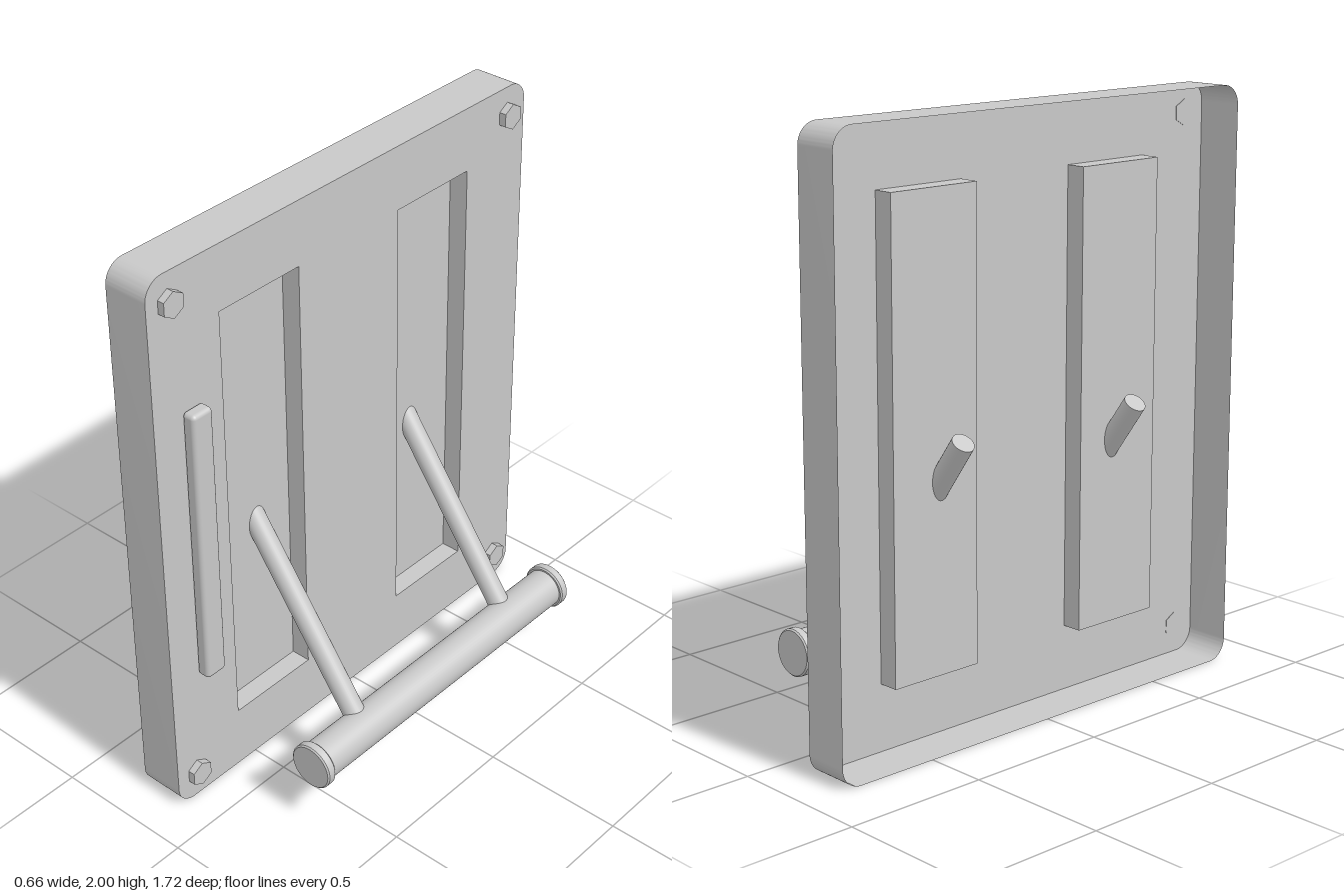
import * as THREE from 'three';
import { toCreasedNormals } from 'three/addons/utils/BufferGeometryUtils.js';
import { RoundedBoxGeometry } from 'three/addons/geometries/RoundedBoxGeometry.js';

const FACE = -0.13, BACK = -0.29, FLOOR = -0.2; // depths of panel face, rim back edge, recess floor

// rectangle centred on (cx, cy) with optional rounded corners
function rectangle(cx, cy, w, h, r, PathType = THREE.Shape) {
  const p = new PathType(), x = w / 2, y = h / 2;
  if (!r) {
    return p.moveTo(cx - x, cy - y).lineTo(cx + x, cy - y).lineTo(cx + x, cy + y)
      .lineTo(cx - x, cy + y).lineTo(cx - x, cy - y);
  }
  p.absarc(cx + x - r, cy - y + r, r, -Math.PI / 2, 0);
  p.absarc(cx + x - r, cy + y - r, r, 0, Math.PI / 2);
  p.absarc(cx - x + r, cy + y - r, r, Math.PI / 2, Math.PI);
  p.absarc(cx - x + r, cy - y + r, r, Math.PI, Math.PI * 1.5);
  p.closePath();
  return p;
}

// open band of sheet metal following an outline between two depths
function band(outline, z0, z1) {
  const pts = outline.getPoints(10), pos = [];
  for (let i = 0; i < pts.length - 1; i++) {
    const a = pts[i], b = pts[i + 1];
    if (a.distanceTo(b) < 1e-6) continue;
    pos.push(a.x, a.y, z0, b.x, b.y, z0, b.x, b.y, z1, a.x, a.y, z0, b.x, b.y, z1, a.x, a.y, z1);
  }
  const g = new THREE.BufferGeometry();
  g.setAttribute('position', new THREE.Float32BufferAttribute(pos, 3));
  g.computeVertexNormals();
  return toCreasedNormals(g, 0.6);
}

export function createModel() {
  const model = new THREE.Group();
  const assembly = new THREE.Group();
  assembly.name = 'pedalAssembly';
  assembly.rotation.y = Math.PI / 2; // built facing +z, turned to face +x
  model.add(assembly);

  const metal = new THREE.MeshStandardMaterial({ color: 0xc8c8c8, side: THREE.DoubleSide });
  metal.name = 'light grey metal';

  const add = (name, geometry, x = 0, y = 0, z = 0) => {
    const m = new THREE.Mesh(geometry, metal);
    m.name = name;
    m.position.set(x, y, z);
    assembly.add(m);
    return m;
  };

  // backing plate: thin face with two openings, and a rim open at the back
  const outline = rectangle(0, 1, 1.72, 2, 0.07);
  const face = rectangle(0, 1, 1.72, 2, 0.07);
  for (const s of [-1, 1]) face.holes.push(rectangle(s * 0.401, 1, 0.343, 1.55, 0, THREE.Path));
  add('plateFace', new THREE.ShapeGeometry(face, 10), 0, 0, FACE);
  add('plateRim', band(outline, BACK, FACE));

  for (const s of [-1, 1]) {
    // recessed channel
    const recess = rectangle(s * 0.401, 1, 0.343, 1.55, 0);
    add('recessFloor', new THREE.ShapeGeometry(recess), 0, 0, FLOOR);
    add('recessWalls', band(recess, FLOOR, FACE));

    // slanted arm running through the recess floor to the bar
    const from = new THREE.Vector3(s * 0.378, 1.0, -0.3);
    const to = new THREE.Vector3(s * 0.378, 0.24, 0.245);
    const arm = add('arm', new THREE.CylinderGeometry(0.0375, 0.0375, from.distanceTo(to), 32));
    arm.position.copy(from).lerp(to, 0.5);
    arm.quaternion.setFromUnitVectors(new THREE.Vector3(0, 1, 0), to.clone().sub(from).normalize());

    // hexagonal bolt heads in the corners
    for (const y of [0.1, 1.9]) {
      const bolt = new THREE.CylinderGeometry(0.045, 0.045, 0.027, 6);
      bolt.rotateX(Math.PI / 2);
      add('bolt', toCreasedNormals(bolt, 0.5), s * 0.773, y, FACE + 0.0115);
    }

    // flanged end cap of the bar
    const cap = new THREE.LatheGeometry([[0, -0.0175], [0.075, -0.0175], [0.08, -0.0125],
      [0.08, 0.0125], [0.075, 0.0175], [0, 0.0175]].map(p => new THREE.Vector2(...p)), 48);
    cap.rotateZ(Math.PI / 2);
    add('barEndCap', toCreasedNormals(cap, 0.5), s * 0.611, 0.24, 0.245);
  }

  // cross bar
  const bar = new THREE.CylinderGeometry(0.069, 0.069, 1.2, 48);
  bar.rotateZ(Math.PI / 2);
  add('crossBar', bar, 0, 0.24, 0.245);

  // upright strip beside the recess
  add('sideStrip', new RoundedBoxGeometry(0.083, 1.01, 0.05, 4, 0.015), -0.705, 1.005, FACE + 0.025);

  return model;
}
